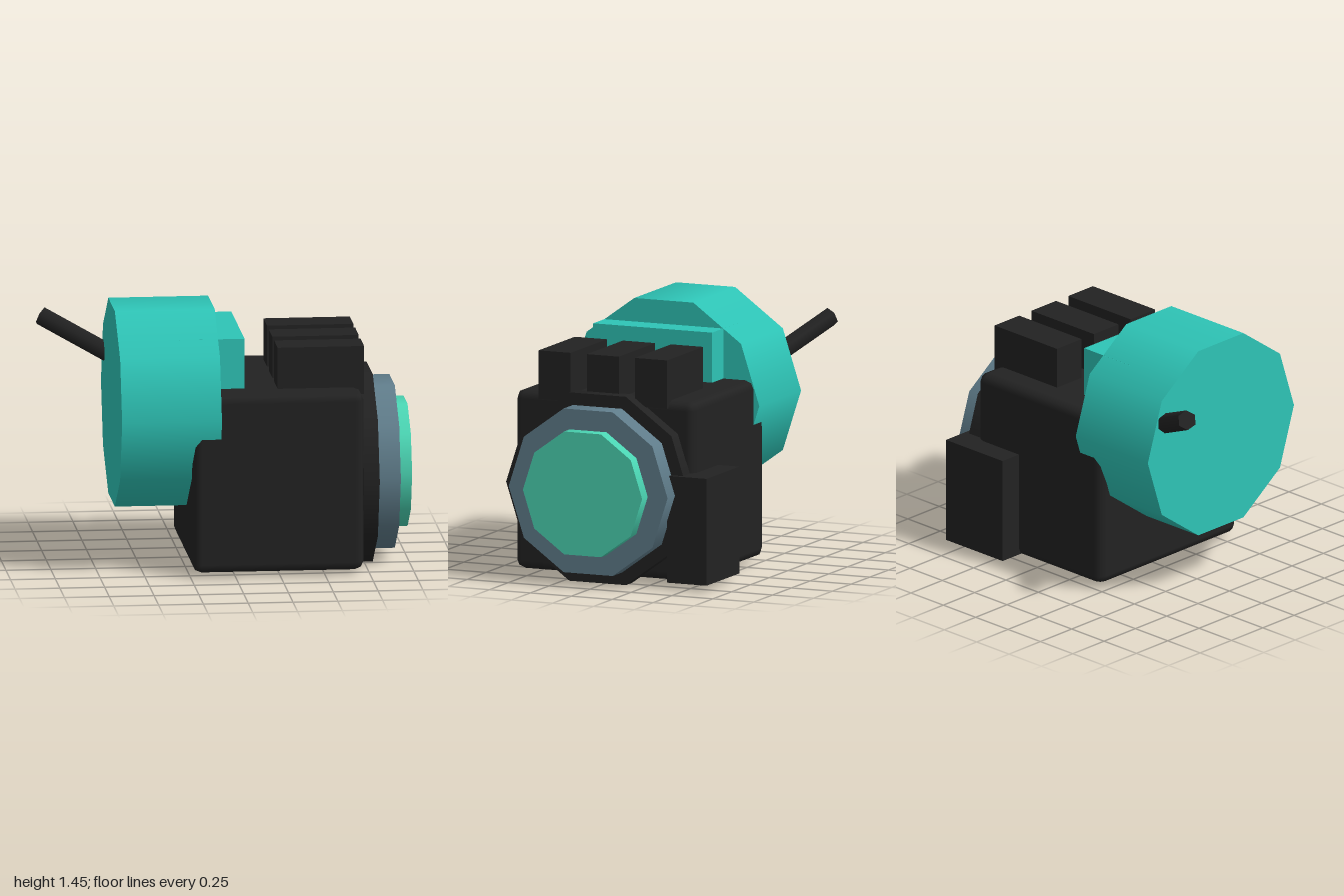
import * as THREE from 'three';
import { RoundedBoxGeometry } from 'three/addons/geometries/RoundedBoxGeometry.js';

function material(name, color) {
  const m = new THREE.MeshStandardMaterial({ color });
  m.name = name;
  return m;
}

export function createModel() {
  const group = new THREE.Group();
  const black = material('black', 0x222222);
  const teal = material('teal', 0x2ec4b6);
  const slate = material('slate', 0x607d8b);
  const mint = material('mint', 0x4bd6b4);
  const midZ = 0.046;

  function add(name, geometry, mat) {
    const mesh = new THREE.Mesh(geometry, mat);
    mesh.name = name;
    group.add(mesh);
    return mesh;
  }

  // Box given by its lower and upper limits on each axis
  function box(name, [x0, x1], [y0, y1], [z0, z1], mat, radius = 0) {
    const size = [x1 - x0, y1 - y0, z1 - z0];
    const geometry = radius
      ? new RoundedBoxGeometry(...size, 1, radius)
      : new THREE.BoxGeometry(...size);
    add(name, geometry, mat).position.set((x0 + x1) / 2, (y0 + y1) / 2, (z0 + z1) / 2);
  }

  // Ten-sided disc lying along x, with corners pointing to +z and -z
  function disc(name, [x0, x1], y, radius, mat) {
    const geometry = new THREE.CylinderGeometry(radius, radius, x1 - x0, 10);
    geometry.rotateZ(-Math.PI / 2);
    add(name, geometry, mat).position.set((x0 + x1) / 2, y, midZ);
  }

  // Main housing
  box('housing', [-0.24, 0.715], [0.03, 1.04], [-0.502, 0.594], black, 0.05);

  // Drum and the block joining it to the housing
  disc('drum', [-0.64, -0.083], 0.9, 0.583, teal);
  box('drumBlock', [-0.3, 0.065], [0.6, 1.322], [-0.317, 0.409], teal);

  // Stepped end cap
  disc('rim', [0.71, 0.8], 0.533, 0.558, black);
  disc('ring', [0.72, 0.925], 0.533, 0.485, slate);
  disc('lens', [0.9, 1.0], 0.533, 0.364, mint);

  // Three blocks on top
  for (const z of [-1, 0, 1]) {
    const c = midZ + z * 0.294;
    box('topBlock', [0.247, 0.729], [1.0, 1.273], [c - 0.098, c + 0.098], black);
  }

  // Box on the rear side
  box('sideBox', [0.39, 0.827], [0.04, 0.642], [-0.632, -0.39], black);

  // Slanted lever leaving the drum
  const tip = new THREE.Vector3(-0.972, 1.267, -0.567);
  const root = new THREE.Vector3(-0.54, 1.05, -0.347);
  const dir = tip.clone().sub(root);
  const lever = add('lever', new THREE.CylinderGeometry(0.055, 0.055, dir.length(), 6), black);
  lever.position.copy(root).add(tip).multiplyScalar(0.5);
  lever.quaternion.setFromUnitVectors(new THREE.Vector3(0, 1, 0), dir.normalize());

  return group;
}
